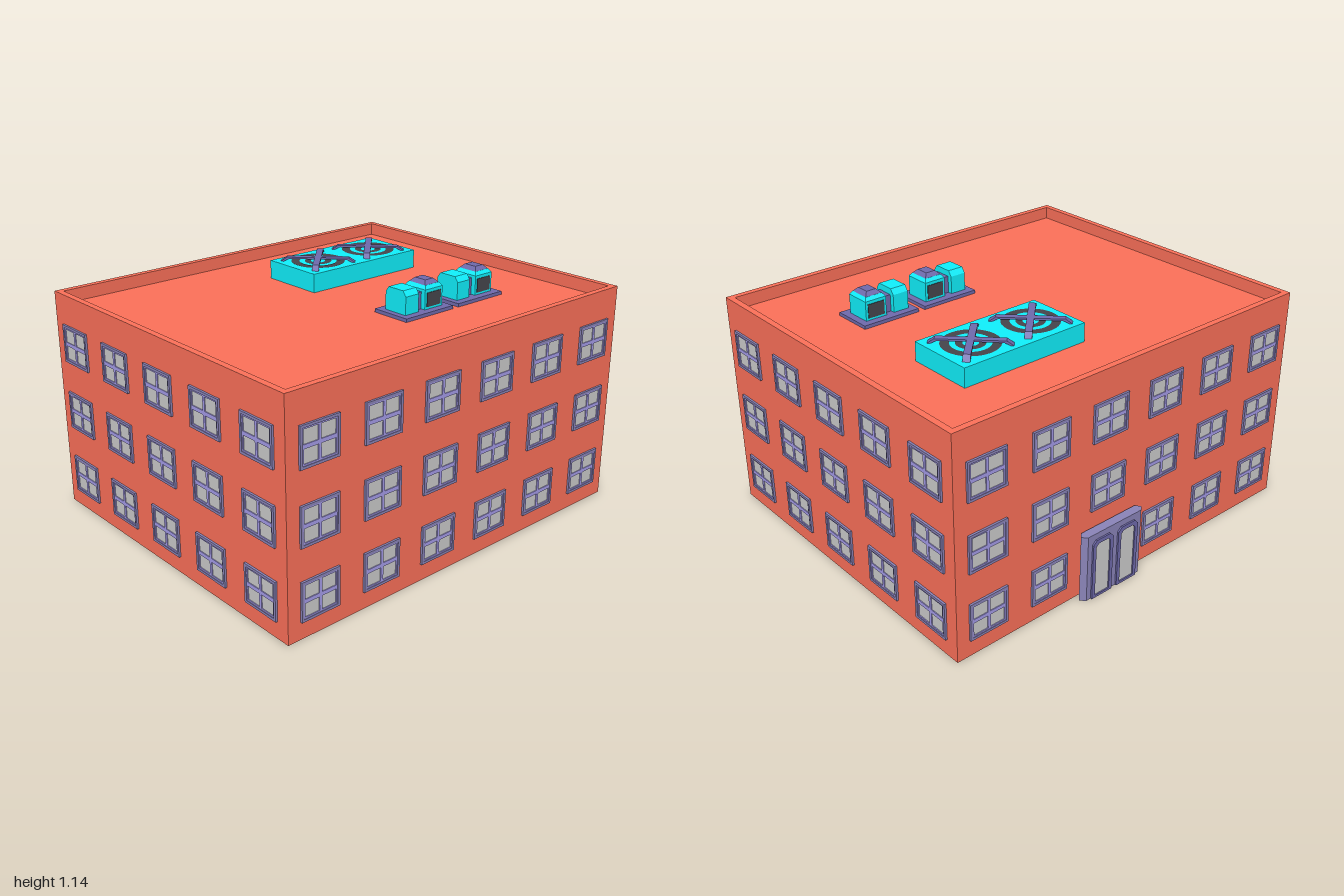
import * as THREE from 'three';

const mat = (color) => new THREE.MeshStandardMaterial({ color, flatShading: true });
const RED = mat(0xfc7059), CYAN = mat(0x10f0fc), LAVENDER = mat(0xa59cea), SLATE = mat(0x8a84b8);
const PURPLE = mat(0x6f6aac), DARK = mat(0x46464c), GREY = mat(0xcccccc);

const W = 0.99, D = 0.825, ZC = 0.025; // half width, half depth and z centre of the block

function add(parent, name, geometry, material, x = 0, y = 0, z = 0) {
  const mesh = new THREE.Mesh(geometry, material);
  mesh.name = name;
  mesh.position.set(x, y, z);
  parent.add(mesh);
  return mesh;
}

function group(parent, name, x = 0, y = 0, z = 0) {
  const g = new THREE.Group();
  g.name = name;
  g.position.set(x, y, z);
  parent.add(g);
  return g;
}

const box = (w, h, d) => new THREE.BoxGeometry(w, h, d);
const polygon = (pts) => pts.map(([x, y]) => new THREE.Vector2(x, y));
const rect = (w, h) => polygon([[-w, -h], [w, -h], [w, h], [-w, h]]);

// Extruded outline with an optional hole, rising along z
function plate(outer, hole, depth) {
  const shape = new THREE.Shape(outer);
  if (hole) shape.holes.push(new THREE.Path(hole));
  return new THREE.ExtrudeGeometry(shape, { depth, bevelEnabled: false });
}

// Rectangular ring of walls standing along y
const wallRing = (inset, height) =>
  plate(rect(W, D), rect(W - inset, D - inset), height).rotateX(-Math.PI / 2);

// Arch outline with chamfered top corners, standing on y = 0
const arch = (w, h, c, y0 = 0) =>
  polygon([[-w, y0], [w, y0], [w, h - c], [w - c, h], [-w + c, h], [-w, h - c]]);

// Box whose top face is narrowed by dx and dz on each side
function taperedBox(w, h, d, dx, dz) {
  const g = box(w, h, d), p = g.attributes.position;
  for (let i = 0; i < p.count; i++) {
    if (p.getY(i) < 0) continue;
    p.setX(i, p.getX(i) - Math.sign(p.getX(i)) * dx);
    p.setZ(i, p.getZ(i) - Math.sign(p.getZ(i)) * dz);
  }
  g.computeVertexNormals();
  return g;
}

const frameGeo = plate(rect(0.099, 0.09), rect(0.087, 0.078), 0.01);
const sashGeo = plate(rect(0.087, 0.078), rect(0.08, 0.071), 0.007);
const paneGeo = box(0.174, 0.156, 0.006);
const uprightGeo = box(0.014, 0.156, 0.014);
const crossbarGeo = box(0.174, 0.018, 0.014);

function buildWindow(parent, x, y, z, angle) {
  const w = group(parent, 'window', x, y, z);
  w.rotation.y = angle;
  add(w, 'windowFrame', frameGeo, SLATE);
  add(w, 'windowSash', sashGeo, LAVENDER);
  add(w, 'windowPane', paneGeo, GREY);
  add(w, 'windowUpright', uprightGeo, LAVENDER);
  add(w, 'windowCrossbar', crossbarGeo, LAVENDER);
}

// Double entrance on the back wall
function buildEntrance(parent) {
  const e = group(parent, 'entrance', 0.163, 0, -0.832);
  const hexagon = polygon([[-0.183, 0], [-0.16, -0.022], [0.16, -0.022], [0.183, 0], [0.16, 0.022], [-0.16, 0.022]]);
  add(e, 'entranceSurround', plate(hexagon, null, 0.33).rotateX(-Math.PI / 2), SLATE);
  for (const s of [-1, 1]) {
    const d = group(e, 'door', s * 0.075);
    add(d, 'doorFrame', plate(arch(0.06, 0.3, 0.02), arch(0.042, 0.28, 0.014, 0.012), 0.065), PURPLE, 0, 0, -0.03);
    add(d, 'doorPanel', box(0.084, 0.27, 0.048), GREY, 0, 0.145, 0);
  }
}

// Twin fan cooling unit
function buildFanUnit(parent, roof) {
  const u = group(parent, 'fanUnit', 0.33, roof, -0.305);
  add(u, 'fanHousing', box(0.66, 0.09, 0.325), CYAN, 0, 0.045, 0);
  const disc = (r0, r1) => new THREE.RingGeometry(r0, r1, 32).rotateX(-Math.PI / 2);
  // Flat-topped strap with sloping feet
  const strap = plate(polygon([[-0.18, 0], [-0.165, 0], [-0.14, 0.012], [0.14, 0.012], [0.165, 0],
    [0.18, 0], [0.15, 0.021], [-0.15, 0.021]]), null, 0.032).translate(0, 0, -0.016);
  for (const s of [-1, 1]) {
    const f = group(u, 'fan', s * 0.165, 0.09, 0);
    add(f, 'fanOuterGrille', disc(0.09, 0.13), DARK, 0, 0.002, 0);
    add(f, 'fanInnerGrille', disc(0.035, 0.065), DARK, 0, 0.002, 0);
    for (const a of [-1, 1]) add(f, 'fanStrap', strap, PURPLE).rotation.y = a * Math.PI / 4;
  }
}

// Small air handler: base plate, rounded tank and vented box with a cap
function buildAirHandler(parent, x, roof) {
  const a = group(parent, 'airHandler', x, roof, 0.355);
  add(a, 'handlerBase', box(0.295, 0.016, 0.2), PURPLE, 0, 0.008, 0);
  const side = polygon([[-0.063, 0.016], [0.063, 0.016], [0.063, 0.1], [0.045, 0.125], [-0.045, 0.125], [-0.063, 0.1]]);
  add(a, 'handlerTank', plate(side, null, 0.08).rotateY(Math.PI / 2), CYAN, -0.117, 0, 0);
  add(a, 'handlerDuct', box(0.04, 0.08, 0.08), PURPLE, -0.018, 0.056, 0);
  add(a, 'handlerBox', box(0.11, 0.092, 0.126), CYAN, 0.058, 0.062, 0);
  add(a, 'handlerShoulder', taperedBox(0.11, 0.016, 0.126, 0.012, 0.012), CYAN, 0.058, 0.116, 0);
  for (const s of [-1, 1]) add(a, 'handlerVent', box(0.086, 0.066, 0.006), DARK, 0.058, 0.06, s * 0.063);
  add(a, 'handlerCap', taperedBox(0.086, 0.018, 0.1, 0.018, 0.018), PURPLE, 0.058, 0.133, 0);
}

export function createModel() {
  const model = new THREE.Group();
  model.name = 'building';
  const roof = 1.0;

  // Hollow block, roof slab and parapet
  add(model, 'walls', wallRing(0.33, 0.98), RED, 0, 0, ZC);
  add(model, 'parapet', wallRing(0.03, 0.08), RED, 0, 0.98, ZC);
  add(model, 'roofSlab', box(2 * W - 0.06, 0.02, 2 * D - 0.06), RED, 0, 0.99, ZC);

  // Windows on all four walls, leaving the entrance bay free
  const windows = group(model, 'windows');
  [0.17, 0.498, 0.828].forEach((y, row) => {
    for (let i = 0; i < 6; i++) {
      const x = (i - 2.5) * 0.331;
      buildWindow(windows, x, y, ZC + D, 0);
      if (row > 0 || i !== 3) buildWindow(windows, x, y, ZC - D, Math.PI);
    }
    for (let i = 0; i < 5; i++) {
      const z = ZC + (i - 2) * 0.331;
      buildWindow(windows, W, y, z, Math.PI / 2);
      buildWindow(windows, -W, y, z, -Math.PI / 2);
    }
  });

  buildEntrance(model);
  buildFanUnit(model, roof);
  for (const x of [0.163, 0.493]) buildAirHandler(model, x, roof);
  return model;
}
